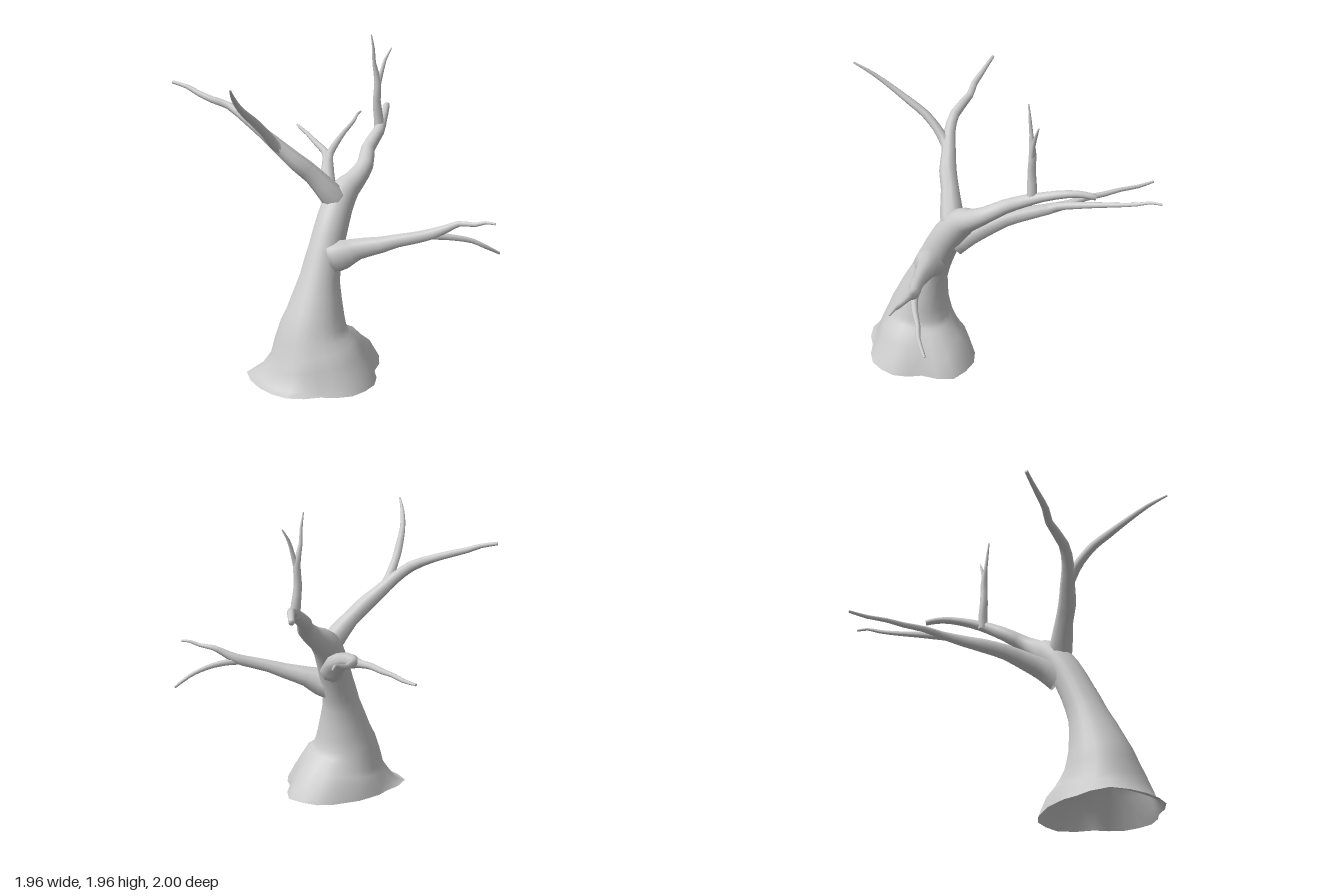
import * as THREE from 'three';

const material = new THREE.MeshStandardMaterial({ color: 0xcccccc, side: THREE.DoubleSide });

// Flared root outline: radius factor every 30 degrees from +x towards +z
const rootOutline = [0.97, 0.98, 0.88, 1.04, 1.1, 1.18, 0.88, 0.82, 0.86, 1.03, 1.1, 0.86];

// Sweeps a round section along points [x, y, z, radius]; the tip is closed
function limb(name, points, { sides = 8, steps = 2, ref, shape, start } = {}) {
  const curve = new THREE.CatmullRomCurve3(points.map(p => new THREE.Vector3(p[0], p[1], p[2])));
  const n = (points.length - 1) * steps;
  const first = curve.getPoint(0);
  const span = curve.getPoint(1).sub(first).normalize();
  const axis = ref || (Math.abs(span.y) > 0.8 ? new THREE.Vector3(1, 0, 0) : new THREE.Vector3(0, 1, 0));
  const positions = [], index = [];
  for (let i = 0; i <= n + 1; i++) {
    const t = Math.min(i / n, 1);
    const k = Math.min(Math.floor(t * (points.length - 1) + 1e-6), points.length - 2);
    const f = t * (points.length - 1) - k;
    const r = i > n ? 0 : THREE.MathUtils.lerp(points[k][3], points[k + 1][3], f);
    const c = curve.getPoint(t);
    const tangent = i === 0 && start ? start : curve.getTangent(t);
    const u = axis.clone().addScaledVector(tangent, -axis.dot(tangent)).normalize();
    const v = u.clone().cross(tangent);
    for (let j = 0; j < sides; j++) {
      const a = (j / sides) * Math.PI * 2;
      const rr = r * (shape ? shape(a, c.y) : 1);
      const p = c.clone().addScaledVector(u, rr * Math.cos(a)).addScaledVector(v, rr * Math.sin(a));
      positions.push(p.x, p.y, p.z);
      if (i <= n) {
        const b = i * sides + j, d = i * sides + (j + 1) % sides;
        index.push(b, b + sides, d, d, b + sides, d + sides);
      }
    }
  }
  const geometry = new THREE.BufferGeometry();
  geometry.setAttribute('position', new THREE.Float32BufferAttribute(positions, 3));
  geometry.setIndex(index);
  geometry.computeVertexNormals();
  const mesh = new THREE.Mesh(geometry, material);
  mesh.name = name;
  return mesh;
}

// Irregular at the ground, round higher up
function rootShape(angle, y) {
  const s = (angle / (Math.PI * 2)) * 12;
  const k = Math.floor(s) % 12;
  const f = THREE.MathUtils.lerp(rootOutline[k], rootOutline[(k + 1) % 12], s - Math.floor(s));
  const blend = Math.max(0, 1 - y / 0.5) ** 2;
  return 1 + (f - 1) * blend;
}

export function createModel() {
  const tree = new THREE.Group();
  tree.name = 'bareTree';

  // Trunk, open underneath, bending back into the main bough
  tree.add(limb('trunk', [
    [0.03, 0, 0.42, 0.385], [0.02, 0.14, 0.44, 0.295], [0.0, 0.26, 0.447, 0.225],
    [0.0, 0.4, 0.425, 0.175], [0.0, 0.6, 0.37, 0.122], [0.005, 0.76, 0.305, 0.107],
    [0.01, 0.93, 0.22, 0.1], [0.015, 1.06, 0.12, 0.092], [0.05, 1.13, 0.02, 0.065],
    [0.065, 1.2, -0.08, 0.052], [0.025, 1.27, -0.19, 0.044], [0.03, 1.35, -0.32, 0.037],
    [0.0, 1.395, -0.43, 0.029], [-0.05, 1.43, -0.57, 0.023], [-0.085, 1.43, -0.65, 0.02],
    [-0.115, 1.415, -0.715, 0.018],
  ], { sides: 24, ref: new THREE.Vector3(1, 0, 0), shape: rootShape, start: new THREE.Vector3(0, 1, 0) }));

  // Twigs standing on the main bough
  tree.add(limb('topTwig', [
    [0.015, 1.35, -0.36, 0.034], [0.008, 1.43, -0.36, 0.031], [0.0, 1.54, -0.35, 0.026],
    [0.004, 1.66, -0.355, 0.023], [-0.012, 1.78, -0.335, 0.012], [-0.012, 1.87, -0.325, 0.009],
    [-0.02, 1.96, -0.31, 0.004],
  ]));
  tree.add(limb('topTwigFork', [
    [0.005, 1.63, -0.355, 0.018], [0.025, 1.73, -0.37, 0.013], [0.038, 1.8, -0.39, 0.01],
    [0.065, 1.87, -0.42, 0.004],
  ]));

  // Upper right bough reaching forward, with its long fork
  tree.add(limb('upperRightBough', [
    [0.03, 1.0, 0.16, 0.075], [-0.01, 1.07, 0.2, 0.075], [-0.1, 1.2, 0.265, 0.057],
    [-0.17, 1.28, 0.32, 0.055], [-0.25, 1.36, 0.36, 0.046], [-0.34, 1.45, 0.405, 0.037],
    [-0.44, 1.53, 0.425, 0.033], [-0.6, 1.6, 0.405, 0.024], [-0.7, 1.63, 0.43, 0.022],
    [-0.8, 1.66, 0.435, 0.018], [-0.88, 1.69, 0.435, 0.014], [-0.98, 1.71, 0.445, 0.011],
  ]));
  tree.add(limb('upperRightFork', [
    [-0.24, 1.34, 0.35, 0.035], [-0.285, 1.41, 0.41, 0.033], [-0.298, 1.48, 0.47, 0.028],
    [-0.302, 1.56, 0.56, 0.026], [-0.29, 1.62, 0.65, 0.024], [-0.27, 1.7, 0.77, 0.018],
    [-0.23, 1.79, 0.89, 0.013], [-0.175, 1.865, 0.995, 0.006],
  ]));

  // Left bough, with its drooping fork
  tree.add(limb('leftBough', [
    [0.06, 0.73, 0.32, 0.105], [0.12, 0.75, 0.3, 0.095], [0.2, 0.785, 0.26, 0.068],
    [0.33, 0.82, 0.215, 0.052], [0.42, 0.85, 0.18, 0.042], [0.52, 0.875, 0.14, 0.038],
    [0.62, 0.905, 0.09, 0.034], [0.7, 0.945, 0.065, 0.024], [0.76, 0.975, 0.045, 0.018],
    [0.86, 0.985, 0.04, 0.013], [0.92, 1.005, 0.03, 0.01], [0.98, 1.005, 0.025, 0.007],
  ]));
  tree.add(limb('leftFork', [
    [0.58, 0.89, 0.11, 0.026], [0.66, 0.885, 0.065, 0.022], [0.74, 0.87, 0.01, 0.018],
    [0.81, 0.845, -0.05, 0.015], [0.87, 0.81, -0.09, 0.013], [0.935, 0.75, -0.17, 0.008],
  ]));

  // Rear right bough, with its rising fork
  tree.add(limb('rearRightBough', [
    [-0.01, 0.87, 0.18, 0.08], [-0.06, 0.935, 0.1, 0.07], [-0.12, 0.98, 0.02, 0.06],
    [-0.2, 1.03, -0.08, 0.05], [-0.27, 1.065, -0.19, 0.045], [-0.33, 1.095, -0.3, 0.036],
    [-0.41, 1.125, -0.41, 0.025], [-0.5, 1.14, -0.48, 0.02], [-0.6, 1.145, -0.57, 0.017],
    [-0.68, 1.155, -0.64, 0.014], [-0.77, 1.155, -0.72, 0.012], [-0.86, 1.165, -0.79, 0.008],
  ]));
  tree.add(limb('rearRightFork', [
    [-0.3, 1.08, -0.26, 0.03], [-0.355, 1.12, -0.36, 0.027], [-0.39, 1.145, -0.48, 0.023],
    [-0.415, 1.17, -0.6, 0.019], [-0.435, 1.195, -0.72, 0.015], [-0.44, 1.235, -0.85, 0.012],
    [-0.455, 1.262, -0.93, 0.009], [-0.468, 1.262, -1.0, 0.007],
  ]));

  return tree;
}
